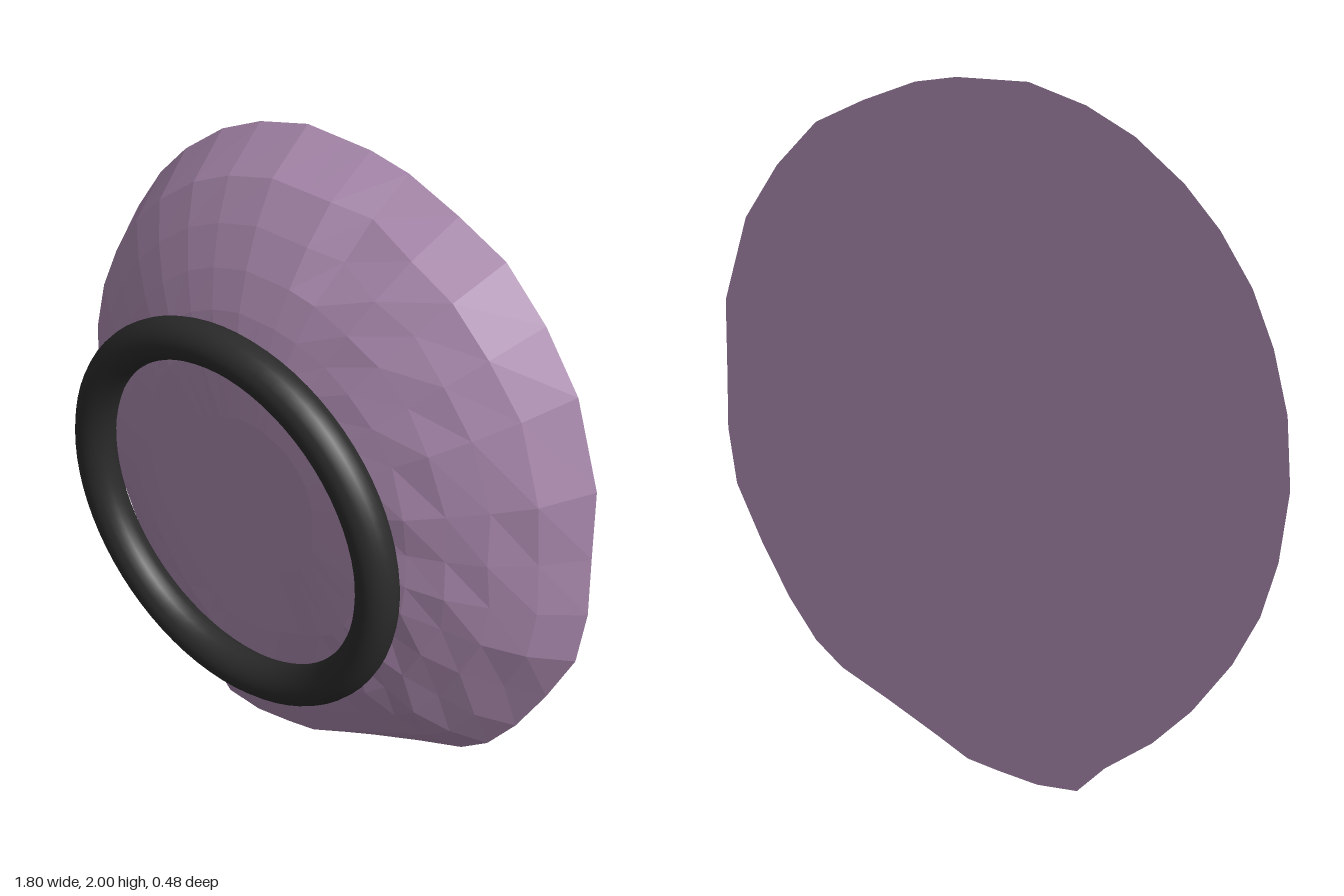
import * as THREE from 'three';

// Rim outline, clockwise seen from the front
const RIM = [
  [-0.02, 2], [0.07, 2], [0.2, 1.98], [0.37, 1.92], [0.53, 1.85], [0.67, 1.72], [0.79, 1.56], [0.88, 1.31],
  [0.89, 1.1], [0.9, 0.92], [0.88, 0.75], [0.8, 0.58], [0.71, 0.42], [0.62, 0.3], [0.53, 0.23],
  [0.37, 0.16], [0.2, 0.08], [0.1, 0.03], [0, 0.015], [-0.13, 0], [-0.26, 0.01], [-0.35, 0.1],
  [-0.5, 0.21], [-0.62, 0.33], [-0.74, 0.49], [-0.82, 0.64], [-0.87, 0.8], [-0.9, 1.0], [-0.89, 1.2],
  [-0.85, 1.37], [-0.79, 1.52], [-0.7, 1.66], [-0.6, 1.77], [-0.46, 1.88], [-0.32, 1.95], [-0.15, 2],
];
// Dome profile: fraction of the radius, z on the full side, z on the gently sloping side
const PROFILE = [
  [0.25, 0.125, 0.125], [0.46, 0.122, 0.116], [0.57, 0.107, 0.084], [0.68, 0.072, 0.04],
  [0.79, 0.024, -0.018], [0.9, -0.04, -0.097],
];
const CENTRE = [-0.03, 1.03];

const backZ = (x, y) => -0.157 - 0.0415 * y - 0.006 * x;

function surface(name, positions, indices, material) {
  const geometry = new THREE.BufferGeometry();
  geometry.setAttribute('position', new THREE.Float32BufferAttribute(positions, 3));
  geometry.setIndex(indices);
  const flat = geometry.toNonIndexed();
  flat.computeVertexNormals();
  const mesh = new THREE.Mesh(flat, material);
  mesh.name = name;
  return mesh;
}

export function createModel() {
  const group = new THREE.Group();
  group.name = 'ringedDome';
  const mauve = new THREE.MeshStandardMaterial({ color: 0xac8bb0 });
  mauve.name = 'mauve';
  const black = new THREE.MeshStandardMaterial({ color: 0x2b2b2b });
  black.name = 'black';
  const n = RIM.length;

  // Dome: rings from the middle out to the irregular rim
  const pos = [CENTRE[0], CENTRE[1], 0.124];
  const idx = [];
  PROFILE.forEach(([t, full, gentle], ring) => RIM.forEach(([x, y], i) => {
    const dx = x - CENTRE[0], dy = y - CENTRE[1], length = Math.hypot(dx, dy);
    // Slope eases towards the upper right
    const w = THREE.MathUtils.clamp(0.5 + 0.8 * (0.87 * dx + 0.5 * dy) / length, 0, 1);
    // Lower lip bulges forward
    const lip = 0.11 * Math.max(0, t - 0.45) * Math.max(0, (-0.2 * dx - 0.98 * dy) / length) ** 6;
    // Right side is hewn more roughly than the left
    const rough = ring > 1 && x > 0.3 ? 0.006 * Math.sin(i * 2.4 + ring * 1.9) : 0;
    // Small notch near the top
    const dent = ring > 3 && i === 2 ? 0.03 : 0;
    const z = THREE.MathUtils.lerp(full, gentle, w) + lip + rough - dent;
    pos.push(CENTRE[0] + dx * t, CENTRE[1] + dy * t, z);
  }));
  RIM.forEach(([x, y]) => pos.push(x, y, backZ(x, y)));
  for (let i = 0; i < n; i++) {
    const j = (i + 1) % n;
    idx.push(0, 1 + j, 1 + i);
    for (let r = 0; r < PROFILE.length; r++) {
      const a = 1 + r * n, b = a + n;
      idx.push(a + i, a + j, b + j, a + i, b + j, b + i);
    }
  }
  group.add(surface('dome', pos, idx, mauve));

  // Flat back, tilted slightly
  const backPos = [CENTRE[0], CENTRE[1], backZ(...CENTRE)];
  const backIdx = [];
  RIM.forEach(([x, y], i) => {
    backPos.push(x, y, backZ(x, y));
    backIdx.push(0, 1 + i, 1 + ((i + 1) % n));
  });
  group.add(surface('flatBack', backPos, backIdx, mauve));

  // Smooth round ring on the front
  const ring = new THREE.Mesh(new THREE.TorusGeometry(0.54, 0.06, 20, 72), black);
  ring.name = 'frontRing';
  ring.position.set(-0.055, 0.98, 0.182);
  group.add(ring);

  return group;
}
